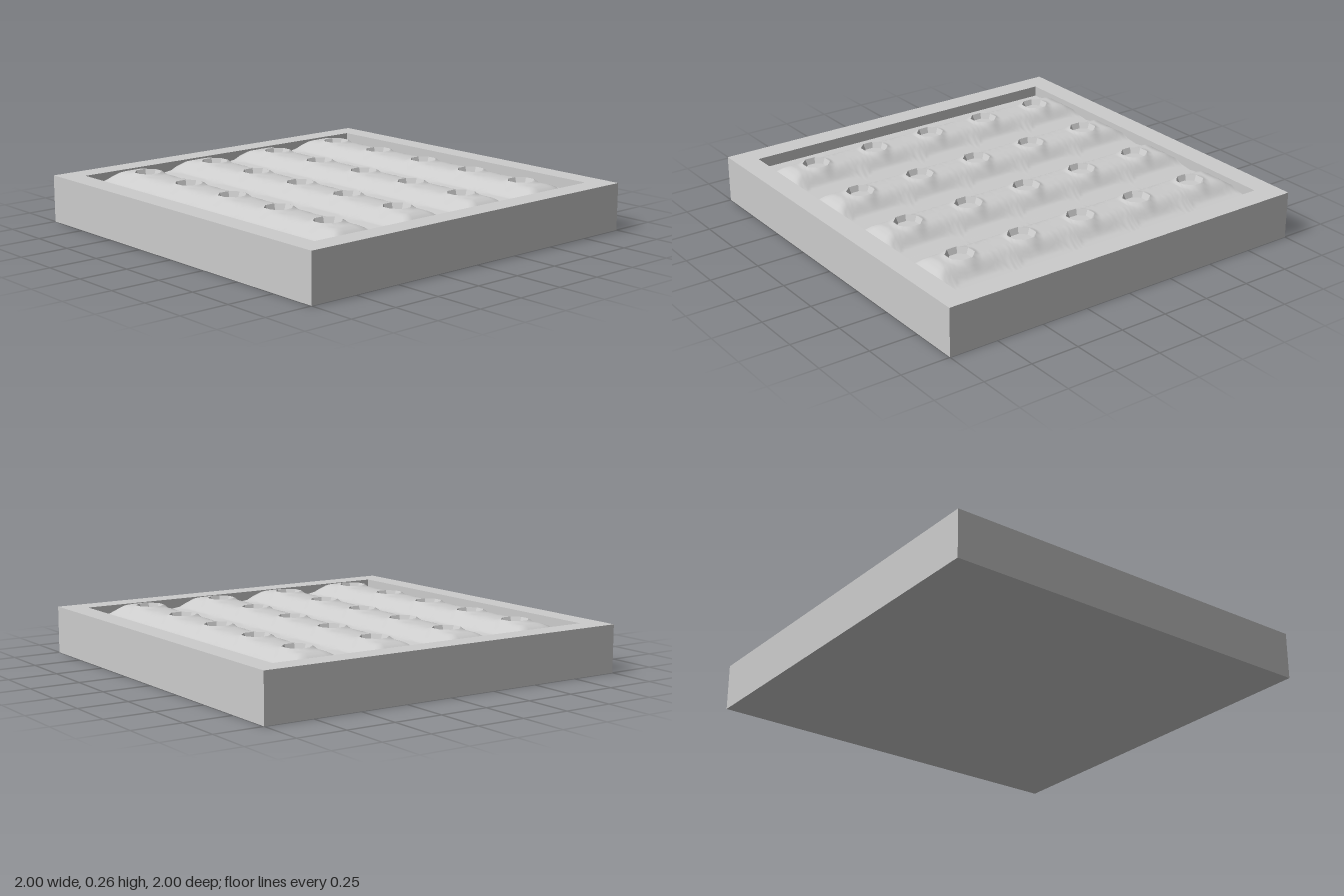
import * as THREE from 'three';
import { mergeVertices } from 'three/addons/utils/BufferGeometryUtils.js';

const HALF = 1, INNER = 0.885, TOP = 0.24;
const ridgeX = [-0.637, -0.214, 0.208, 0.631];
const holeZ = [-0.69, -0.345, 0, 0.345, 0.69];
const HOLE_R = 0.07, FLOOR_R = 0.056, HOLE_DEPTH = 0.028, CREST = 0.258;

// piecewise linear curve through [distance, height] points
function curve(points, d) {
  for (let i = 1; i < points.length; i++) {
    const [d0, h0] = points[i - 1], [d1, h1] = points[i];
    if (d <= d1) return h0 + (h1 - h0) * Math.max(0, (d - d0) / (d1 - d0));
  }
  return points[points.length - 1][1];
}

// soil height: long ridges, sloping ends, a low mound around each hole
function soilHeight(x, z) {
  const d = Math.min(...ridgeX.map(c => Math.abs(x - c)));
  const r = Math.min(...ridgeX.flatMap(c => holeZ.map(h => Math.hypot(x - c, z - h))));
  const ridge = curve([[0, 0.252], [0.065, 0.248], [0.09, 0.236], [0.135, 0.196], [0.22, 0.185]], d);
  const mound = curve([[0, CREST], [0.073, CREST], [0.092, 0.24], [0.14, 0.19], [0.16, 0.17]], r);
  const end = curve([[0.76, 0.26], [0.8, 0.253], [0.84, 0.24], [0.885, 0.212]], Math.abs(z));
  return Math.min(Math.max(ridge, mound), end);
}

// cell boundaries halfway between neighbours
const bounds = a => [-INNER, ...a.slice(1).map((v, i) => (v + a[i]) / 2), INNER];

// soil: every cell is a set of rings running from the octagonal hole to the cell edge
function soilGeometry() {
  const pos = [], index = [], SIDE = 12, N = SIDE * 4, RINGS = 12;
  const xb = bounds(ridgeX), zb = bounds(holeZ);
  ridgeX.forEach((cx, i) => holeZ.forEach((cz, j) => {
    const corners = [[xb[i + 1], zb[j]], [xb[i + 1], zb[j + 1]], [xb[i], zb[j + 1]], [xb[i], zb[j]]];
    const start = pos.length / 3;
    for (let ring = 0; ring <= RINGS; ring++) {
      for (let k = 0; k < N; k++) {
        const s = Math.floor(k / SIDE), t = (k % SIDE) / SIDE;
        const a = corners[s], b = corners[(s + 1) % 4];
        const angle = -Math.PI / 4 + k / N * Math.PI * 2;
        const off = angle - Math.round(angle / (Math.PI / 4)) * Math.PI / 4;
        const r = HOLE_R * Math.cos(Math.PI / 8) / Math.cos(off);
        const f = ring / RINGS;
        const x = THREE.MathUtils.lerp(cx + Math.cos(angle) * r, a[0] + (b[0] - a[0]) * t, f);
        const z = THREE.MathUtils.lerp(cz + Math.sin(angle) * r, a[1] + (b[1] - a[1]) * t, f);
        pos.push(x, soilHeight(x, z), z);
        if (ring < RINGS) {
          const p = start + ring * N + k, q = start + ring * N + (k + 1) % N;
          index.push(p, q, p + N, q, q + N, p + N);
        }
      }
    }
  }));
  let geo = new THREE.BufferGeometry();
  geo.setAttribute('position', new THREE.Float32BufferAttribute(pos, 3));
  geo.setIndex(index);
  geo = mergeVertices(geo, 1e-4);
  geo.computeVertexNormals();
  return geo;
}

export function createModel() {
  const group = new THREE.Group();
  const grey = new THREE.MeshStandardMaterial({ color: 0xcccccc });
  const flat = new THREE.MeshStandardMaterial({ color: 0xcccccc, flatShading: true, side: THREE.DoubleSide });
  const add = (name, geo, mat, parent = group) => {
    const mesh = new THREE.Mesh(geo, mat);
    mesh.name = name;
    parent.add(mesh);
    return mesh;
  };

  // square frame with a square opening
  const square = (path, h) => path.moveTo(-h, -h).lineTo(h, -h).lineTo(h, h).lineTo(-h, h).closePath();
  const outline = square(new THREE.Shape(), HALF);
  outline.holes.push(square(new THREE.Path(), INNER));
  const frame = new THREE.ExtrudeGeometry(outline, { depth: TOP, bevelEnabled: false });
  add('frame', frame.rotateX(-Math.PI / 2), grey);

  // bottom closing the frame
  add('base', new THREE.BoxGeometry(INNER * 2, 0.1, INNER * 2).translate(0, 0.05, 0), grey);

  add('soil', soilGeometry(), grey);

  // planting holes: tapered octagonal wall and floor
  const wall = new THREE.CylinderGeometry(HOLE_R, FLOOR_R, HOLE_DEPTH, 8, 1, true)
    .rotateY(Math.PI / 8).translate(0, CREST - HOLE_DEPTH / 2, 0);
  const floor = new THREE.CircleGeometry(FLOOR_R, 8)
    .rotateX(-Math.PI / 2).rotateY(Math.PI / 8).translate(0, CREST - HOLE_DEPTH, 0);
  for (const x of ridgeX) for (const z of holeZ) {
    const hole = new THREE.Group();
    hole.name = 'plantingHole';
    hole.position.set(x, 0, z);
    add('holeWall', wall, flat, hole);
    add('holeFloor', floor, flat, hole);
    group.add(hole);
  }
  return group;
}
